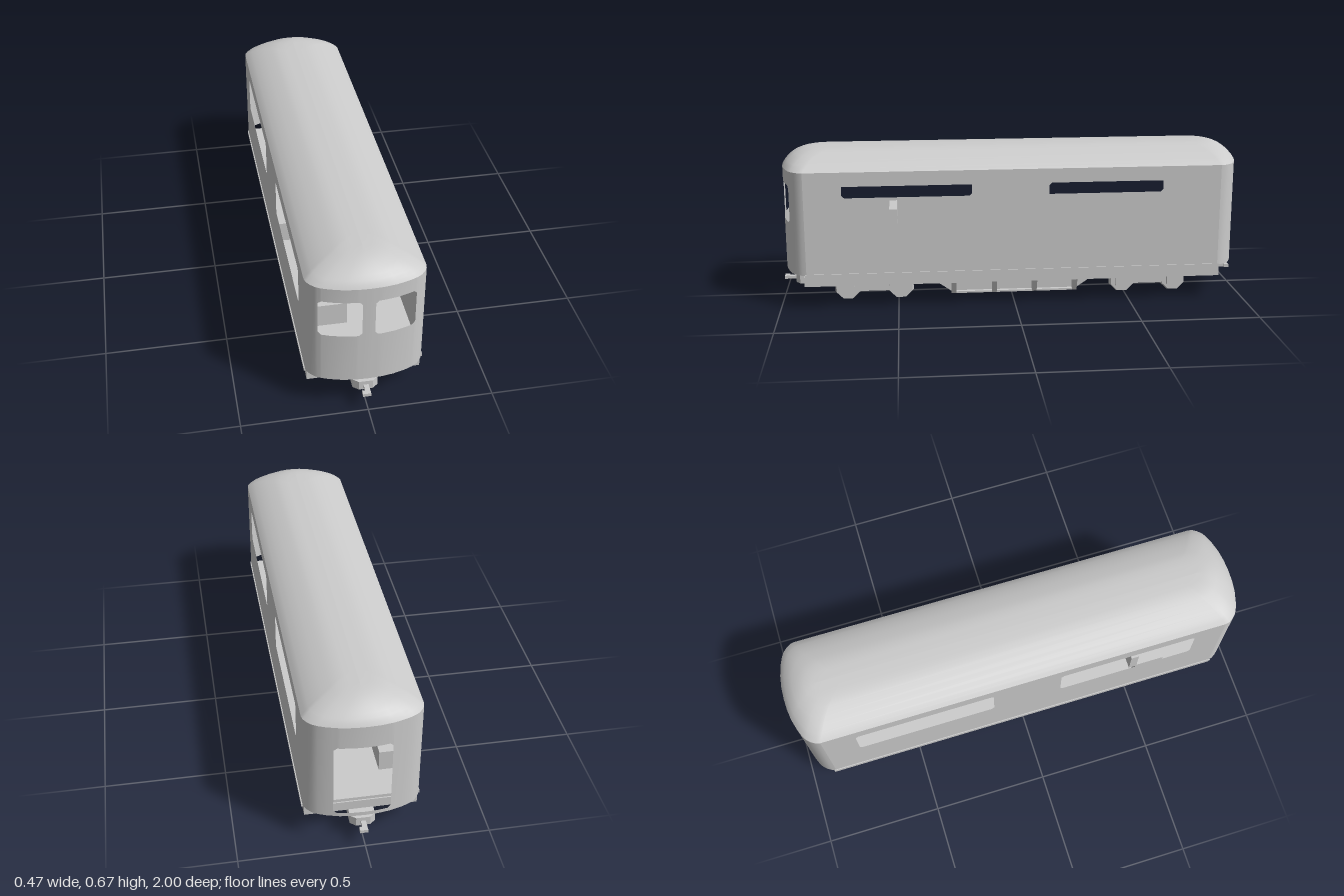
import * as THREE from 'three';
import { mergeVertices } from 'three/addons/utils/BufferGeometryUtils.js';

const grey = new THREE.MeshStandardMaterial({ color: 0xcccccc });
const flat = new THREE.MeshStandardMaterial({ color: 0xcccccc, flatShading: true });
const thin = new THREE.MeshStandardMaterial({ color: 0xcccccc, side: THREE.DoubleSide });

const SILL = 0.153, EAVE = 0.596, W = 0.231, SIDE = 0.885;

// Half plan of a bowed end: [x, z]
const bow = [[0, 0.984], [0.05, 0.982], [0.1, 0.975], [0.15, 0.961], [0.18, 0.949],
  [0.2, 0.937], [0.216, 0.92], [0.227, 0.902], [W, SIDE]];
const endPlan = [...bow.slice(1).reverse().map(([x, z]) => [-x, z]), ...bow];

function bowZ(x) {
  const a = Math.abs(x);
  const i = Math.max(1, bow.findIndex(p => p[0] >= a - 1e-9));
  const [p, q] = [bow[i - 1], bow[i]];
  return p[1] + (q[1] - p[1]) * (a - p[0]) / (q[0] - p[0]);
}

function add(parent, name, geometry, material = flat, pos = [0, 0, 0]) {
  const m = new THREE.Mesh(geometry, material);
  m.name = name;
  m.position.set(...pos);
  parent.add(m);
  return m;
}

// Box from its limits on each axis
function box(parent, name, [x0, x1], [y0, y1], [z0, z1]) {
  return add(parent, name, new THREE.BoxGeometry(x1 - x0, y1 - y0, z1 - z0), flat,
    [(x0 + x1) / 2, (y0 + y1) / 2, (z0 + z1) / 2]);
}

function geometryFrom(pos, index) {
  let g = new THREE.BufferGeometry();
  g.setAttribute('position', new THREE.Float32BufferAttribute(pos, 3));
  if (index) g.setIndex(index);
  else g = mergeVertices(g, 1e-5);
  g.computeVertexNormals();
  return g;
}

// Wall in vertical strips along u, with chamfered openings {u0, u1, y0, y1}
function wall(us, depth, openings) {
  const c = 0.012;
  const cuts = openings.flatMap(o => [o.u0, o.u0 + c, o.u1 - c, o.u1]);
  const all = [...new Set([...us, ...cuts])].sort((a, b) => a - b);
  const pos = [];
  const quad = (a, b, l0, l1, h0, h1) => {
    const p = [[a, l0, depth(a)], [b, l1, depth(b)], [b, h1, depth(b)], [a, h0, depth(a)]];
    for (const i of [0, 1, 2, 0, 2, 3]) pos.push(...p[i]);
  };
  for (let i = 0; i + 1 < all.length; i++) {
    const a = all[i], b = all[i + 1], mid = (a + b) / 2;
    const o = openings.find(k => mid > k.u0 && mid < k.u1);
    if (!o) { quad(a, b, SILL, SILL, EAVE, EAVE); continue; }
    const cut = u => Math.max(0, c - Math.min(u - o.u0, o.u1 - u));
    quad(a, b, SILL, SILL, o.y0 + cut(a), o.y0 + cut(b));
    quad(a, b, o.y1 - cut(a), o.y1 - cut(b), EAVE, EAVE);
  }
  return geometryFrom(pos);
}

// Domed roof: shrinking plan loops [half width, end inset, height]
function roofGeometry() {
  const levels = [[W, 0, EAVE], [0.216, 0.008, 0.61], [0.2, 0.018, 0.621], [0.175, 0.032, 0.635],
    [0.145, 0.05, 0.648], [0.11, 0.075, 0.66], [0.08, 0.1, 0.668], [0.045, 0.13, 0.671], [0, 0.16, 0.672]];
  const loop = [...endPlan, ...endPlan.map(([x, z]) => [-x, -z])];
  const n = loop.length, pos = [], index = [];
  levels.forEach(([w, e, y], k) => {
    for (const [x, z] of loop) pos.push(x * w / W, y, z - Math.sign(z) * e);
    if (!k) return;
    for (let j = 0; j < n; j++) {
      const a = (k - 1) * n + j, b = (k - 1) * n + (j + 1) % n;
      index.push(a, b, b + n, a, b + n, a + n);
    }
  });
  return geometryFrom(pos, index);
}

// Extrude a closed outline, centred on its depth
function prism(points, depth) {
  const s = new THREE.Shape(points.map(p => new THREE.Vector2(...p)));
  return new THREE.ExtrudeGeometry(s, { depth, bevelEnabled: false }).translate(0, 0, -depth / 2);
}

function makeBogie() {
  const g = new THREE.Group();
  g.name = 'bogie';
  box(g, 'bogieFrame', [-0.085, 0.085], [0.036, 0.085], [0.535, 0.675]);
  box(g, 'drawBeam', [-0.05, 0.05], [0.062, 0.103], [0.4, 0.93]);
  add(g, 'beamNose', prism([[-0.05, 0.93], [0.05, 0.93], [0.028, 0.948], [-0.028, 0.948]], 0.04)
    .rotateX(Math.PI / 2), flat, [0, 0.083, 0]);
  for (const z of [0.49, 0.72]) {
    add(g, 'axle', new THREE.CylinderGeometry(0.014, 0.014, 0.2, 8).rotateZ(Math.PI / 2), flat, [0, 0.057, z]);
    for (const s of [-1, 1]) {
      // Tapered wheel, wide flange on the inner side
      const [top, bottom] = s > 0 ? [0.053, 0.06] : [0.06, 0.053];
      add(g, 'wheel', new THREE.CylinderGeometry(top, bottom, 0.026, 8).rotateY(Math.PI / 8)
        .rotateZ(-Math.PI / 2), flat, [s * 0.1, 0.057, z]);
      box(g, 'axleBox', s > 0 ? [0.112, 0.132] : [-0.132, -0.112], [0.035, 0.086], [z - 0.03, z + 0.03]);
    }
  }
  for (const s of [-1, 1])
    box(g, 'sideFrame', s > 0 ? [0.085, 0.112] : [-0.112, -0.085], [0.04, 0.07], [0.53, 0.68]);
  // Coupler
  box(g, 'couplerShank', [-0.01, 0.01], [0.073, 0.086], [0.94, 0.985]);
  box(g, 'couplerKnuckle', [-0.022, 0.01], [0.073, 0.087], [0.98, 1]);
  return g;
}

export function createModel() {
  const model = new THREE.Group();
  model.name = 'railCar';

  // Body shell
  const y0 = 0.374, y1 = 0.535;
  const endU = endPlan.map(p => p[0]);
  add(model, 'frontWall', wall(endU, bowZ, [
    { u0: -0.19, u1: -0.028, y0, y1 }, { u0: 0.021, u1: 0.182, y0, y1 }]), thin);
  add(model, 'rearWall', wall(endU, bowZ, [
    { u0: -0.123, u1: 0.1, y0: 0.17, y1: 0.498 }]), thin).rotation.y = Math.PI;
  const right = [{ u0: -0.755, u1: -0.155, y0, y1 }, { u0: 0.145, u1: 0.745, y0, y1 }];
  const left = right.map(o => ({ ...o, u0: -o.u1, u1: -o.u0 }));
  [right, left].forEach((holes, i) => {
    const m = add(model, i ? 'rightWall' : 'leftWall', wall([-SIDE, SIDE], () => W, holes), thin);
    m.rotation.y = (i ? -1 : 1) * Math.PI / 2;
  });
  add(model, 'roof', roofGeometry(), thin);

  // Floor and underframe
  box(model, 'floorLedge', [-0.235, 0.235], [0.144, 0.158], [-0.89, 0.89]);
  box(model, 'underframe', [-0.225, 0.225], [0.102, 0.144], [-0.895, 0.895]);

  // Interior benches and driver's seat
  for (const s of [-1, 1])
    box(model, 'bench', s > 0 ? [0.1, 0.225] : [-0.225, -0.1], [0.158, 0.25], [-0.75, 0.07]);
  box(model, 'seatCushion', [-0.19, -0.02], [0.158, 0.26], [0.53, 0.66]);
  box(model, 'seatBack', [-0.19, -0.02], [0.25, 0.37], [0.5, 0.535]);

  // Equipment tank with sloped ends and side ribs
  add(model, 'equipmentTank', prism([[-0.35, 0.105], [-0.27, 0.05], [0.27, 0.05], [0.35, 0.105]], 0.36)
    .rotateY(Math.PI / 2), grey);
  box(model, 'tankBottom', [-0.197, 0.197], [0.046, 0.054], [-0.27, 0.27]);
  for (const z of [-0.262, -0.087, 0.087, 0.262])
    add(model, 'tankRib', prism([[-0.197, 0.046], [0.197, 0.046], [0.225, 0.104], [-0.225, 0.104]], 0.02),
      flat, [0, 0, z]);

  // Bogies with couplers at both ends
  const front = makeBogie(), rear = makeBogie();
  rear.rotation.y = Math.PI;
  model.add(front, rear);
  return model;
}
